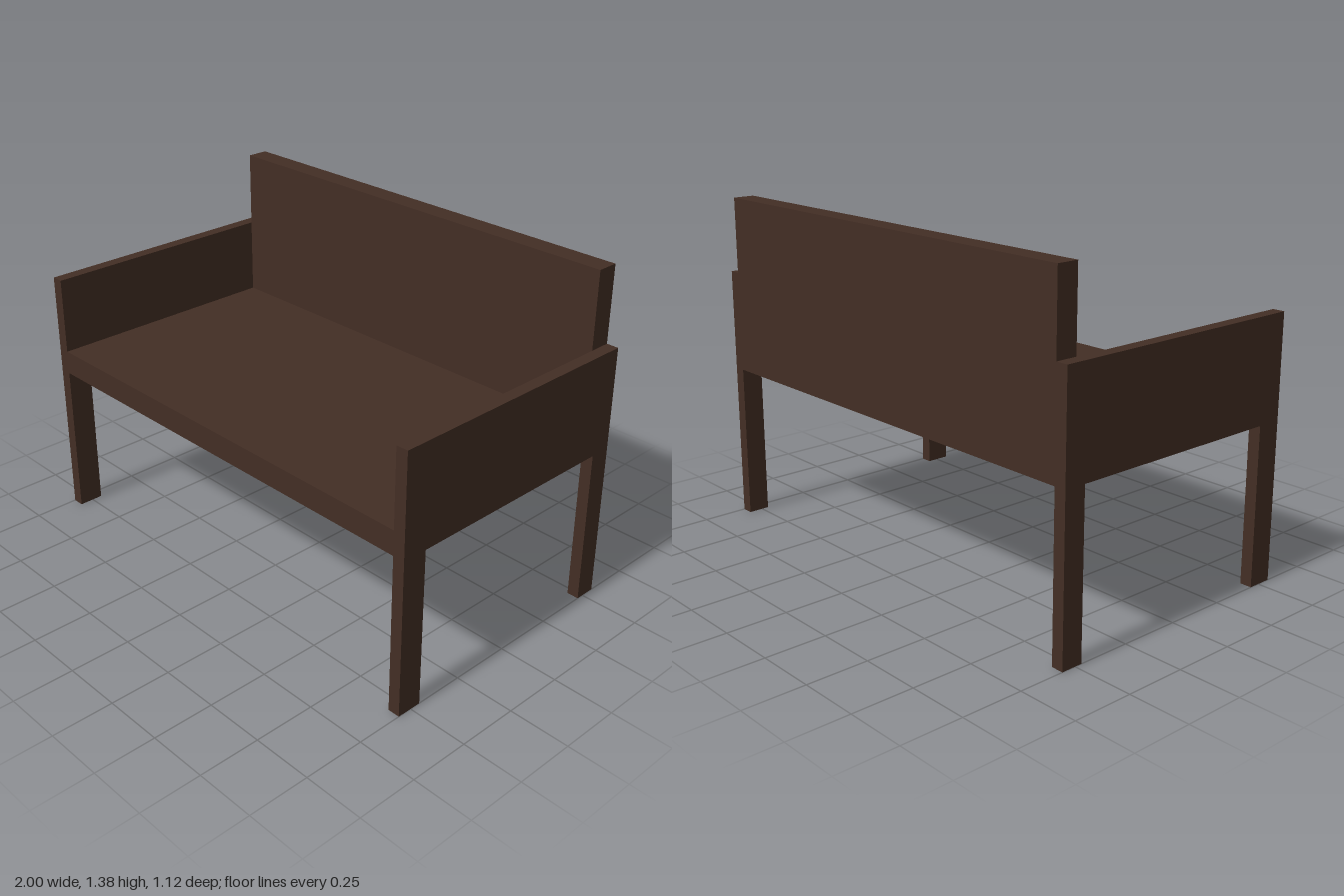
import * as THREE from 'three';

export function createModel() {
  const group = new THREE.Group();
  const wood = new THREE.MeshStandardMaterial({ name: 'darkBrownWood', color: 0x432e24 });

  const add = (name, geometry, x, y, z) => {
    const mesh = new THREE.Mesh(geometry, wood);
    mesh.name = name;
    mesh.position.set(x, y, z);
    group.add(mesh);
  };

  // Box given by its limits along y and z, spanning between the side panels
  const board = (name, y0, y1, z0, z1) =>
    add(name, new THREE.BoxGeometry(1.9, y1 - y0, z1 - z0), 0, (y0 + y1) / 2, (z0 + z1) / 2);

  board('seat', 0.65, 0.75, -0.47, 0.56);
  board('backrest', 0.65, 1.385, -0.56, -0.47);

  // Armrest panel and its two legs, cut as one outline (z, y)
  const outline = new THREE.Shape([
    [-0.56, 0], [-0.47, 0], [-0.47, 0.65], [0.455, 0.65],
    [0.455, 0], [0.56, 0], [0.56, 1.07], [-0.56, 1.07],
  ].map(([z, y]) => new THREE.Vector2(z, y)));
  const side = new THREE.ExtrudeGeometry(outline, { depth: 0.05, bevelEnabled: false });
  side.rotateY(-Math.PI / 2); // thickness now runs from x = -0.05 to 0

  add('leftArmrestWithLegs', side, 1, 0, 0);
  add('rightArmrestWithLegs', side, -0.95, 0, 0);

  return group;
}
